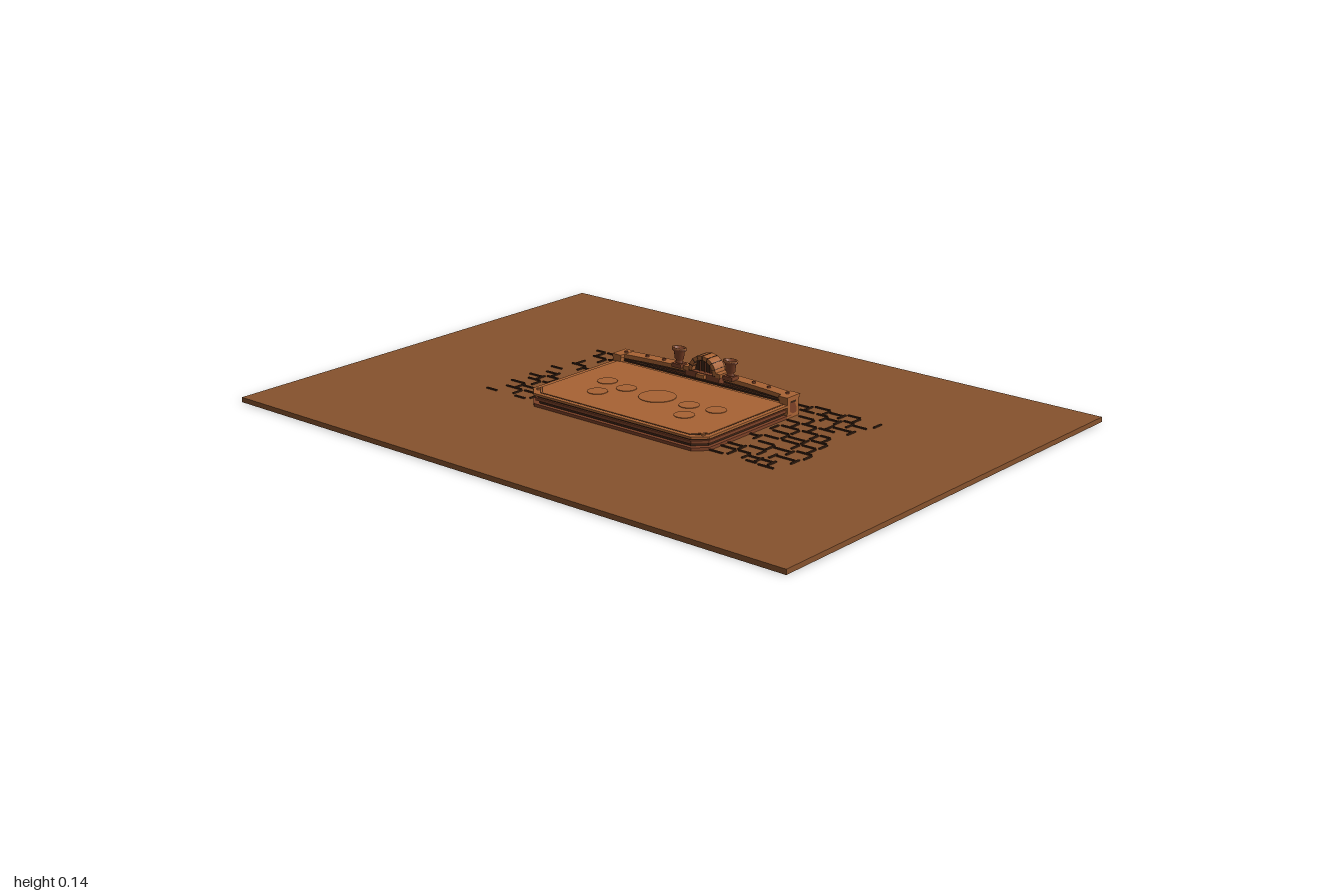
import * as THREE from 'three';

const mat = (name, color, side = THREE.FrontSide) => {
  const m = new THREE.MeshStandardMaterial({ color, side });
  m.name = name;
  return m;
};

export function createModel() {
  const root = new THREE.Group();
  root.name = 'courtyardFountain';
  const earth = mat('earth', 0x86522d);
  const stone = mat('warmStone', 0xa86334);
  const brick = mat('redBrick', 0x7d4127);
  const dark = mat('darkJoint', 0x3a2315);

  const add = (name, geo, m, x = 0, y = 0, z = 0, parent = root) => {
    const mesh = new THREE.Mesh(geo, m);
    mesh.name = name;
    mesh.position.set(x, y, z);
    parent.add(mesh);
    return mesh;
  };
  const box = (name, w, h, d, m, x, y, z, parent) =>
    add(name, new THREE.BoxGeometry(w, h, d), m, x, y, z, parent);
  // Horizontal slab from a plan outline given as (x, z), between y0 and y1
  const slab = (name, pts, y0, y1, m) => {
    const shape = new THREE.Shape(pts.map(([x, z]) => new THREE.Vector2(x, -z)));
    const geo = new THREE.ExtrudeGeometry(shape, { depth: y1 - y0, bevelEnabled: false });
    geo.rotateX(-Math.PI / 2);
    return add(name, geo, m, 0, y0, 0);
  };

  // Ground
  box('ground', 2, 0.015, 1.47, earth, 0, 0.0075, 0);

  // Paving joints: staggered rows of thin dark strips around the basin
  const paving = new THREE.Group();
  paving.name = 'pavingJoints';
  root.add(paving);
  let seed = 7;
  const rand = () => (seed = (seed * 16807) % 2147483647) / 2147483647;
  const joint = (x, z, w, d) => {
    if (Math.abs(x) < 0.34 && z > -0.215) return;
    box('joint', w, 0.004, d, dark, x, 0.017, z, paving);
  };
  const rowH = 0.048;
  for (let r = 0; r <= 10; r++) {
    const z = -0.275 + r * rowH;
    let x = -0.52 + (r % 2) * 0.025;
    while (x < 0.52) {
      const w = 0.04 + rand() * 0.035;
      const shift = rand() < 0.3 ? 0.016 : 0;
      if (rand() < 0.85) joint(x + w / 2, Math.min(z + shift, 0.21), w * 0.8, 0.006);
      if (r < 10 && rand() < 0.85) joint(x + w, z + rowH / 2, 0.006, rowH * 0.75);
      x += w;
    }
  }

  // Basin plinth with chamfered front corners and stepped mouldings
  const plan = (inset) => {
    const x = 0.33 - inset, f = 0.243 - inset, b = -0.16 + inset, c = 0.035;
    return [[-x, b], [-x, f - c], [-x + c, f], [x - c, f], [x, f - c], [x, b]];
  };
  slab('basinFoot', plan(0), 0.015, 0.024, brick);
  slab('lowerRecess', plan(0.012), 0.024, 0.033, dark);
  slab('middleMoulding', plan(0.004), 0.033, 0.042, brick);
  slab('upperRecess', plan(0.009), 0.042, 0.048, dark);
  slab('basinRim', plan(0), 0.048, 0.055, stone);
  slab('rimGroove', plan(0.013), 0.055, 0.0554, dark);
  slab('basinTop', plan(0.0155), 0.0545, 0.0565, stone);

  // Flat round discs set into the top
  const discs = [[0, 0.04, 0.055]];
  for (const s of [-1, 1]) {
    discs.push([s * 0.118, 0.04, 0.03], [s * 0.205, 0.025, 0.03], [s * 0.163, 0.115, 0.03]);
  }
  discs.forEach(([x, z, r]) =>
    add('roundDisc', new THREE.CylinderGeometry(r, r, 0.002, 32), stone, x, 0.0572, z));

  // Curved back wall: sagging arc in plan
  const arcZ = (x, z0) => z0 - 0.028 * (1 - (x / 0.33) ** 2);
  const band = (front, back, half = 0.33) => {
    const pts = [], n = 20;
    for (let i = 0; i <= n; i++) {
      const x = -half + (2 * half * i) / n;
      pts.push([x, arcZ(x, front)]);
    }
    for (let i = n; i >= 0; i--) {
      const x = -half + (2 * half * i) / n;
      pts.push([x, arcZ(x, back)]);
    }
    return pts;
  };
  slab('wallFoot', band(-0.148, -0.188), 0.015, 0.026, brick);
  slab('wallBody', band(-0.152, -0.182), 0.026, 0.058, brick);
  slab('wallShadowLine', band(-0.154, -0.18), 0.058, 0.064, dark);
  slab('wallCoping', band(-0.15, -0.188), 0.064, 0.077, stone);
  slab('wallLedge', [[-0.3, -0.155], [0.3, -0.155], [0.3, -0.165], [-0.3, -0.165]], 0.05, 0.06, dark);

  // Vertical joints on the back of the wall
  for (let i = -5; i <= 5; i++) {
    if (i) box('wallJoint', 0.004, 0.03, 0.003, dark, i * 0.055, 0.042, arcZ(i * 0.055, -0.1825));
  }

  // Centre arch: ring of wedge stones over a dark niche
  const arch = new THREE.Group();
  arch.name = 'centreArch';
  arch.position.set(0, 0.078, -0.205);
  root.add(arch);
  const ring = new THREE.Shape();
  ring.absarc(0, 0, 0.052, 0, Math.PI, false);
  ring.absarc(0, 0, 0.039, Math.PI, 0, true);
  add('archRing', new THREE.ExtrudeGeometry(ring, { depth: 0.045, bevelEnabled: false, curveSegments: 20 }),
    stone, 0, 0, 0, arch);
  add('nichePanel', new THREE.CylinderGeometry(0.04, 0.04, 0.02, 24, 1, false, Math.PI / 2, Math.PI)
    .rotateX(Math.PI / 2), dark, 0, 0, 0.018, arch).material.side = THREE.DoubleSide;
  for (let i = 0; i <= 8; i++) {
    const a = (Math.PI * i) / 8;
    const j = box('archJoint', 0.015, 0.002, 0.047, dark, Math.cos(a) * 0.0455, Math.sin(a) * 0.0455, 0.0225, arch);
    j.rotation.z = a;
  }
  for (const x of [-0.02, 0, 0.02]) box('nicheBar', 0.004, 0.03, 0.004, brick, x, 0.015, 0.031, arch);
  box('archBase', 0.13, 0.063, 0.045, brick, 0, -0.0315, 0.0225, arch);
  box('backDoor', 0.08, 0.063, 0.003, dark, 0, -0.0315, -0.001, arch);
  for (const s of [-1, 1]) {
    box('archShoulder', 0.02, 0.012, 0.05, stone, s * 0.06, 0.004, 0.022, arch);
  }
  // Spout under the arch
  box('spout', 0.03, 0.012, 0.016, stone, 0, -0.008, 0.048, arch);

  // Urns on short stands, end posts and coping studs, mirrored
  const urnProfile = [[0, 0], [0.013, 0], [0.013, 0.004], [0.01, 0.008], [0.016, 0.013], [0.018, 0.034],
    [0.025, 0.04], [0.025, 0.046], [0.018, 0.046], [0.015, 0.036], [0, 0.036]]
    .map(([x, y]) => new THREE.Vector2(x, y));
  for (const s of [-1, 1]) {
    box('urnStand', 0.034, 0.012, 0.03, brick, s * 0.097, 0.082, -0.172);
    const urn = add('urn', new THREE.LatheGeometry(urnProfile, 16), brick, s * 0.097, 0.088, -0.172);
    urn.scale.z = 0.65;
    const lip = add('urnRim', new THREE.TorusGeometry(0.0225, 0.003, 6, 20).rotateX(Math.PI / 2),
      stone, s * 0.097, 0.133, -0.172);
    lip.scale.z = 0.65;
    box('endPost', 0.03, 0.053, 0.052, stone, s * 0.315, 0.0415, -0.166);
    box('endPostCap', 0.034, 0.01, 0.06, stone, s * 0.314, 0.073, -0.168);
    for (const x of [0.17, 0.23, 0.305]) {
      add('copingStud', new THREE.CylinderGeometry(0.005, 0.006, 0.006, 8), brick, s * x, 0.079, arcZ(x, -0.168));
    }
    // Small corner studs and inlaid corner strips on the basin
    add('cornerStud', new THREE.CylinderGeometry(0.007, 0.007, 0.004, 8), stone, s * 0.308, 0.057, 0.208);
    const strip = box('cornerStrip', 0.045, 0.001, 0.003, dark, s * 0.294, 0.0568, 0.207);
    strip.rotation.y = s * Math.PI / 4;
  }
  return root;
}
